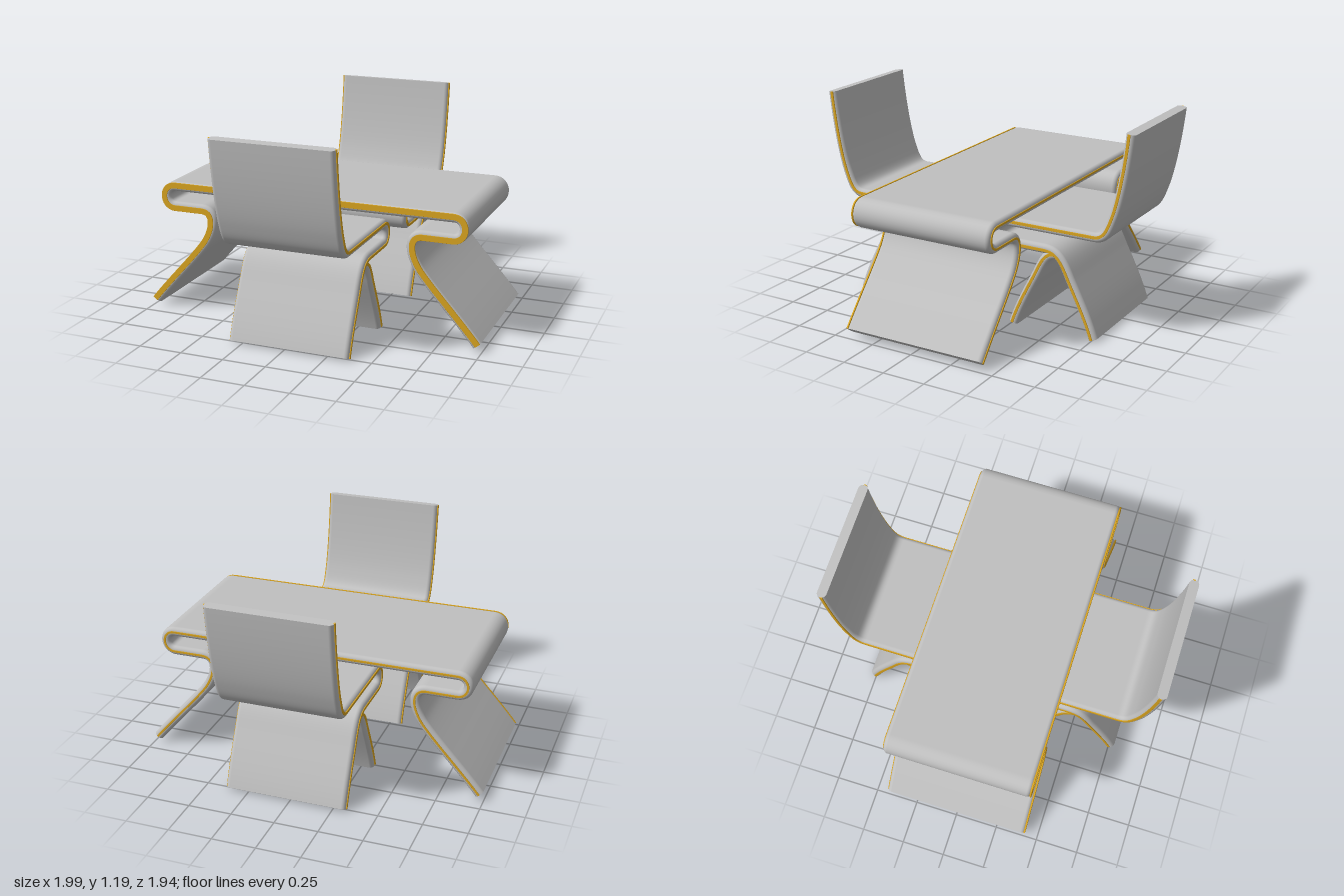
import * as THREE from 'three';

const HALF = 0.0275; // half the sheet thickness

// Rounded-rectangle section: [across, offset, normalAcross, normalOffset], counterclockwise
function section(s0, s1, o0, o1, r, seg) {
  const ring = [];
  const corners = [[s1 - r, o1 - r], [s0 + r, o1 - r], [s0 + r, o0 + r], [s1 - r, o0 + r]];
  corners.forEach(([s, o], c) => {
    for (let i = 0; i <= seg; i++) {
      const a = (c + i / seg) * Math.PI / 2;
      ring.push([s + r * Math.cos(a), o + r * Math.sin(a), Math.cos(a), Math.sin(a)]);
    }
  });
  return ring;
}

// Sweep a section along a flat path in the xy plane; "across" runs along z
function sweep(points, ring) {
  const pos = [], nor = [], idx = [], n = ring.length, last = points.length - 1;
  const tangent = i => points[Math.min(i + 1, last)].clone().sub(points[Math.max(i - 1, 0)]).normalize();
  const addRing = (i, capDir) => {
    const p = points[i], t = tangent(i), base = pos.length / 3;
    for (const [s, o, ns, no] of ring) {
      pos.push(p.x - t.y * o, p.y + t.x * o, s);
      if (capDir) nor.push(t.x * capDir, t.y * capDir, 0);
      else nor.push(-t.y * no, t.x * no, ns);
    }
    return base;
  };
  for (let i = 0; i <= last; i++) {
    const b = addRing(i, 0);
    if (i === last) break;
    for (let j = 0; j < n; j++) {
      const k = (j + 1) % n;
      idx.push(b + j, b + n + j, b + k, b + n + j, b + n + k, b + k);
    }
  }
  const start = addRing(0, -1), end = addRing(last, 1);
  for (let k = 1; k < n - 1; k++) {
    idx.push(start, start + k, start + k + 1, end, end + k + 1, end + k);
  }
  const g = new THREE.BufferGeometry();
  g.setAttribute('position', new THREE.Float32BufferAttribute(pos, 3));
  g.setAttribute('normal', new THREE.Float32BufferAttribute(nor, 3));
  g.setIndex(idx);
  return g;
}

export function createModel() {
  const grey = new THREE.MeshStandardMaterial({ color: 0xc0c0c0 });
  grey.name = 'sheet grey';
  const amber = new THREE.MeshStandardMaterial({ color: 0xdaa520 });
  amber.name = 'edge amber';

  const add = (parent, name, geometry, material) => {
    const m = new THREE.Mesh(geometry, material);
    m.name = name;
    parent.add(m);
  };

  // Bent sheet with a thin coloured strip along each edge
  const bentSheet = (parent, name, points, z0, z1, strips) => {
    add(parent, name, sweep(points, section(z0, z1, -HALF, HALF, 0.024, 6)), grey);
    strips.forEach(([side, o0, o1]) => {
      const edge = side > 0 ? z1 : z0;
      const s = [edge - side * 0.005, edge + side * 0.004].sort((a, b) => a - b);
      add(parent, name + 'Edge', sweep(points, section(s[0], s[1], o0, o1, 0.001, 1)), amber);
    });
  };

  const model = new THREE.Group();
  model.name = 'tableWithChairs';

  // Table: one sheet forming top, rolled ends and slanted legs
  const half = new THREE.Path();
  half.moveTo(0, 0.75);
  half.lineTo(0.828, 0.75);
  half.bezierCurveTo(0.906, 0.75, 0.906, 0.633, 0.828, 0.633);
  half.lineTo(0.66, 0.633);
  half.bezierCurveTo(0.575, 0.633, 0.575, 0.53, 0.645, 0.43);
  half.bezierCurveTo(0.72, 0.33, 0.86, 0.19, 0.975, 0.049);
  const right = half.getPoints(16);
  const left = right.slice(1).reverse().map(p => new THREE.Vector2(-p.x, p.y));
  const table = new THREE.Group();
  table.name = 'table';
  bentSheet(table, 'tableSheet', [...left, ...right], -0.432, 0.422,
    [[1, -0.008, 0.025], [-1, -0.005, 0.007]]);
  model.add(table);

  // Chair: back, seat, rolled fold and outer leg in one sheet
  const body = new THREE.Path();
  body.moveTo(0.945, 1.197);
  body.bezierCurveTo(0.925, 1.0, 0.89, 0.81, 0.855, 0.72);
  body.bezierCurveTo(0.83, 0.65, 0.81, 0.606, 0.75, 0.606);
  body.lineTo(0.215, 0.606);
  body.bezierCurveTo(0.136, 0.606, 0.136, 0.488, 0.215, 0.488);
  body.lineTo(0.45, 0.488);
  body.bezierCurveTo(0.53, 0.488, 0.56, 0.45, 0.61, 0.34);
  body.bezierCurveTo(0.66, 0.24, 0.72, 0.13, 0.757, 0.018);

  // Inner leg branching from the crest of the fold
  const inner = new THREE.Path();
  inner.moveTo(0.52, 0.465);
  inner.bezierCurveTo(0.47, 0.46, 0.45, 0.43, 0.41, 0.34);
  inner.bezierCurveTo(0.36, 0.24, 0.3, 0.13, 0.263, 0.018);

  const strips = [[1, -0.012, 0.004], [-1, -0.012, 0.004]];
  for (const [name, turn] of [['frontChair', -1], ['backChair', 1]]) {
    const chair = new THREE.Group();
    chair.name = name;
    bentSheet(chair, 'chairSheet', body.getPoints(14), -0.35, 0.35, strips);
    bentSheet(chair, 'chairInnerLeg', inner.getPoints(14), -0.35, 0.35, strips);
    chair.rotation.y = turn * Math.PI / 2;
    chair.position.x = 0.027;
    model.add(chair);
  }
  return model;
}
